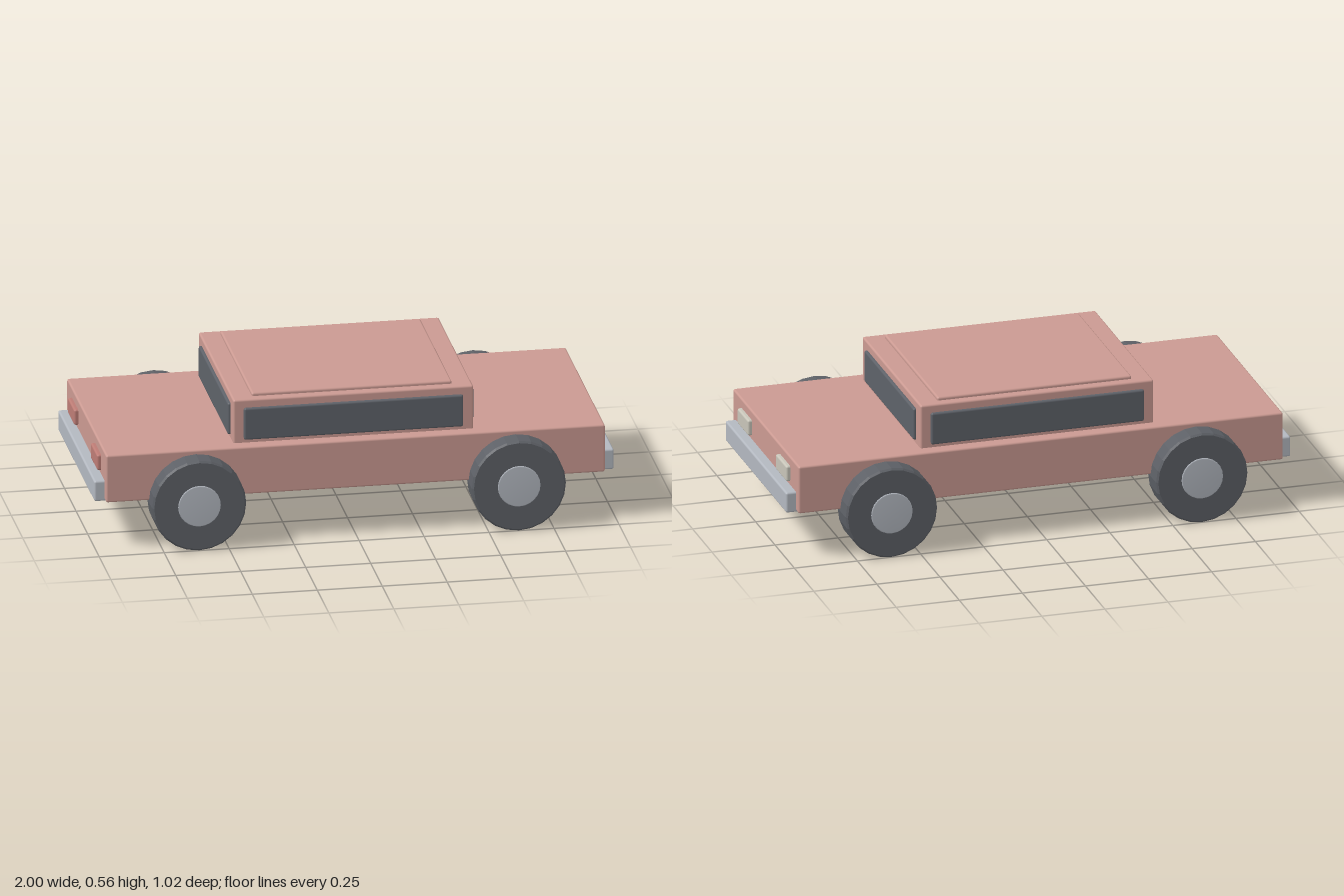
import * as THREE from 'three';
import { RoundedBoxGeometry } from 'three/addons/geometries/RoundedBoxGeometry.js';

const material = (name, color, flatShading = false) => {
  const m = new THREE.MeshStandardMaterial({ color, flatShading });
  m.name = name;
  return m;
};

export function createModel() {
  const car = new THREE.Group();
  car.name = 'car';

  const paint = material('dusty pink paint', 0xcb9a92);
  const glass = material('dark glass', 0x5e6269);
  const rubber = material('tyre rubber', 0x5d6066, true);
  const metal = material('pale metal', 0xb3b8c0);
  const cream = material('headlight cream', 0xc8c5b9);
  const red = material('tail light red', 0xbd7c75);

  // Softly rounded box given by its extents along each axis
  const box = (name, mat, [x0, x1], [y0, y1], [z0, z1], radius = 0.008) => {
    const geometry = new RoundedBoxGeometry(x1 - x0, y1 - y0, z1 - z0, 2, radius);
    const mesh = new THREE.Mesh(geometry, mat);
    mesh.position.set((x0 + x1) / 2, (y0 + y1) / 2, (z0 + z1) / 2);
    mesh.name = name;
    car.add(mesh);
  };
  // Extent from a to b, mirrored when the side is -1
  const span = (side, a, b) => (side > 0 ? [a, b] : [-b, -a]);

  // Body, cabin and raised roof panel
  box('body', paint, [-0.96, 0.96], [0.187, 0.378], [-0.425, 0.425]);
  box('cabin', paint, [-0.462, 0.462], [0.36, 0.551], [-0.376, 0.376]);
  box('roofPanel', paint, [-0.385, 0.385], [0.53, 0.564], [-0.342, 0.342]);

  // Disc with bevelled rims, its axis along z
  const disc = (radius, width, bevel, segments) => {
    const h = width / 2;
    const profile = [
      [0, -h], [radius - bevel, -h], [radius, -h + bevel],
      [radius, h - bevel], [radius - bevel, h], [0, h],
    ].map(([x, y]) => new THREE.Vector2(x, y));
    return new THREE.LatheGeometry(profile, segments).rotateX(Math.PI / 2);
  };
  const tyreGeometry = disc(0.181, 0.117, 0.007, 24);
  const hubGeometry = disc(0.082, 0.126, 0.004, 24);

  for (const side of [1, -1]) {
    // Windows on the long sides and the ends of the cabin
    box('sideWindow', glass, [-0.422, 0.422], [0.391, 0.519], span(side, 0.36, 0.387));
    box('endWindow', glass, span(side, 0.445, 0.473), [0.391, 0.519], [-0.318, 0.318]);

    // Bumper at each end, headlights at +x and tail lights at -x
    box('bumper', metal, span(side, 0.925, 1), [0.183, 0.265], [-0.393, 0.393]);
    for (const z of [1, -1]) {
      box(side > 0 ? 'headlight' : 'tailLight', side > 0 ? cream : red,
        span(side, 0.94, 0.976), [0.279, 0.342], span(z, 0.178, 0.317));

      // Wheels
      const wheel = new THREE.Group();
      wheel.name = 'wheel';
      const tyre = new THREE.Mesh(tyreGeometry, rubber);
      tyre.name = 'tyre';
      const hub = new THREE.Mesh(hubGeometry, metal);
      hub.name = 'hub';
      wheel.add(tyre, hub);
      wheel.position.set(side * 0.615, 0.181, z * 0.446);
      car.add(wheel);
    }
  }
  return car;
}
